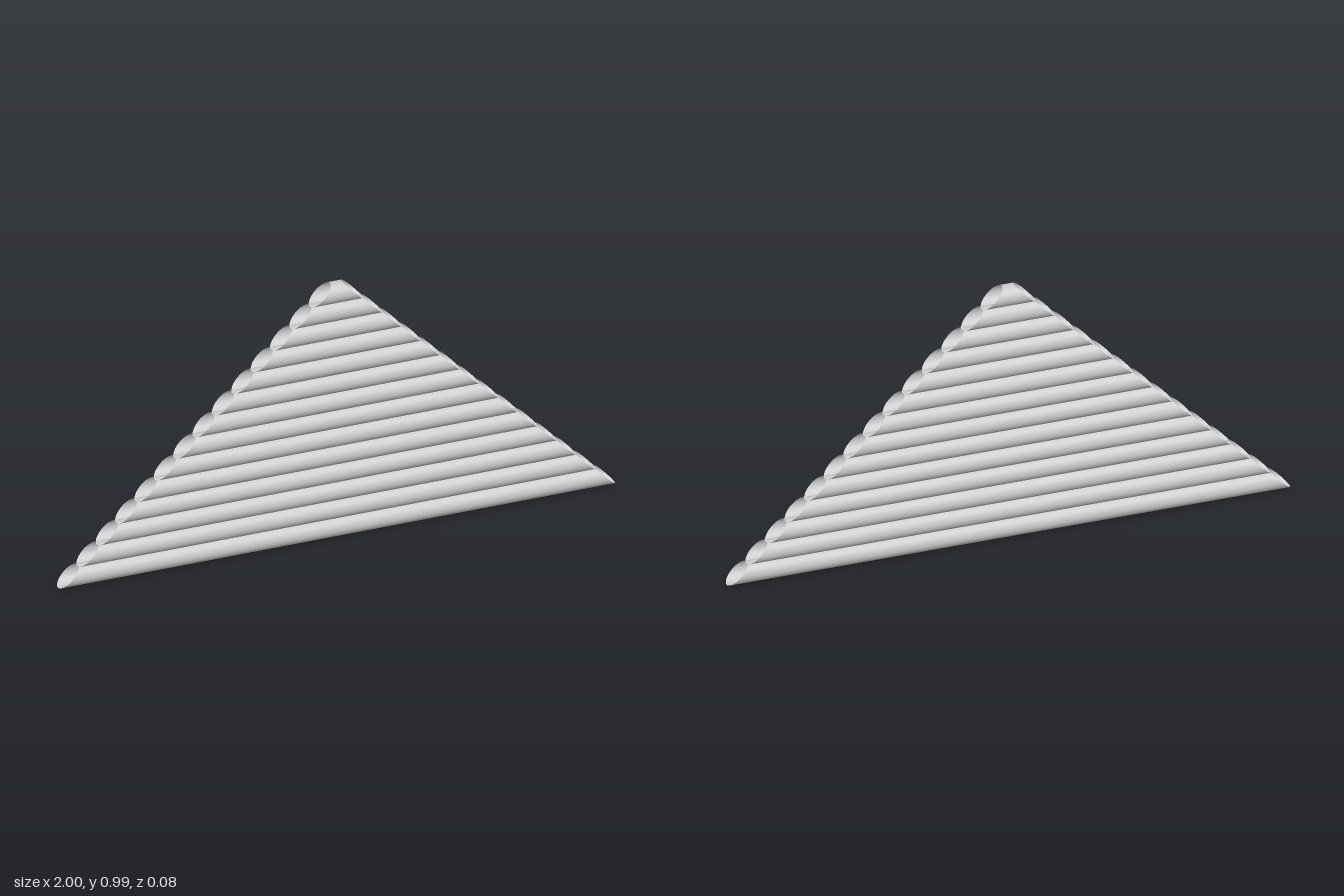
import * as THREE from 'three';

const LOGS = 14, RADIUS = 0.0375, PITCH = 0.07, SLOPE = 0.994;

// Half the width of the gable at height y
const halfWidth = (y) => 1 - SLOPE * y;

// Open hollow log along x, its ends cut to the slope of the gable
function logGeometry(height) {
  const geometry = new THREE.CylinderGeometry(RADIUS, RADIUS, 2, 32, 1, true);
  geometry.rotateZ(Math.PI / 2);
  geometry.translate(0, height, 0);
  const p = geometry.attributes.position;
  for (let i = 0; i < p.count; i++) {
    p.setX(i, Math.sign(p.getX(i)) * halfWidth(p.getY(i)));
  }
  return geometry;
}

export function createModel() {
  const gable = new THREE.Group();
  gable.name = 'logGable';
  const material = new THREE.MeshStandardMaterial({ color: 0xcccccc, side: THREE.DoubleSide });

  // Stack of slightly overlapping logs
  for (let i = 0; i < LOGS; i++) {
    const log = new THREE.Mesh(logGeometry(RADIUS + i * PITCH), material);
    log.name = `log${i + 1}`;
    gable.add(log);
  }
  return gable;
}
